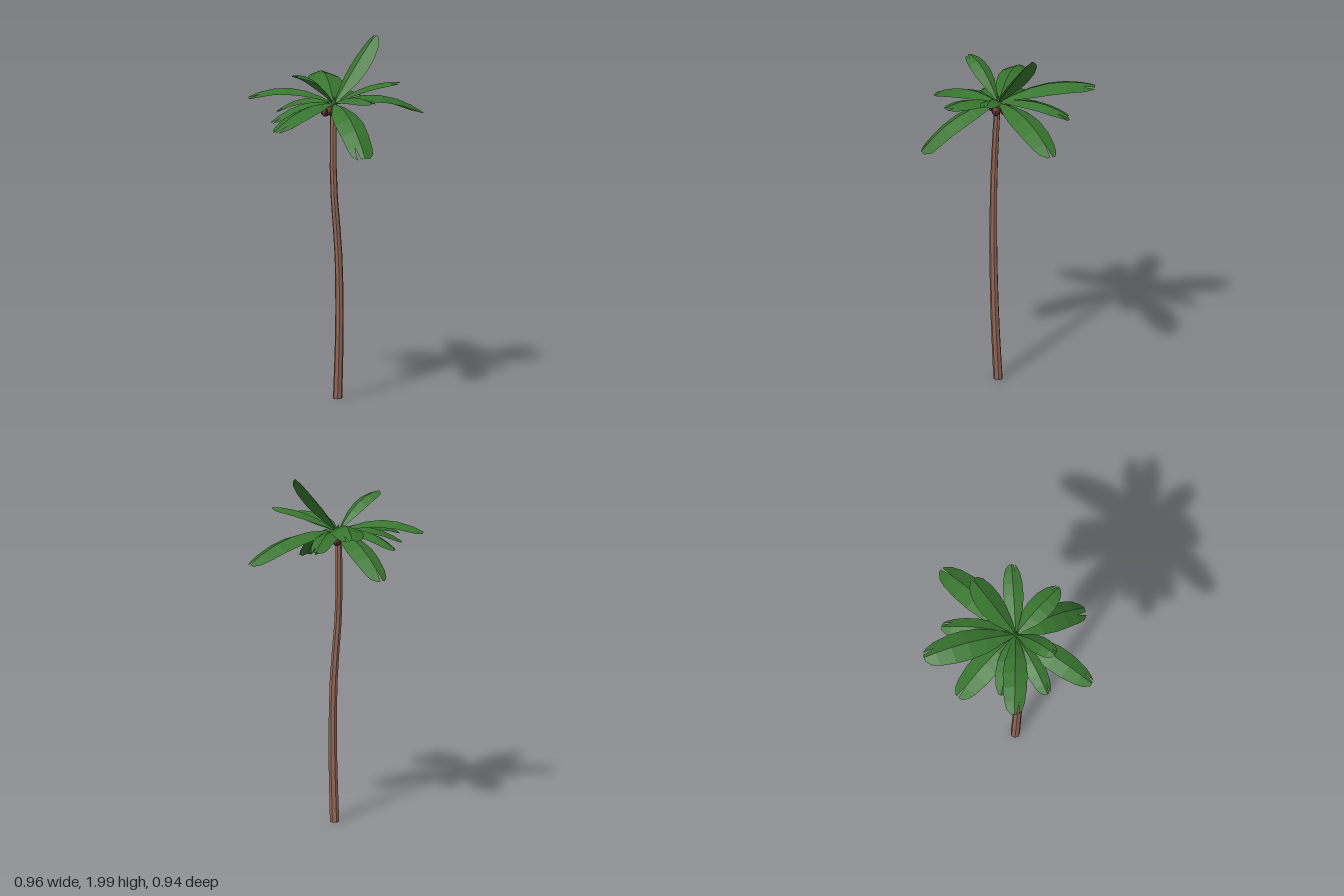
import * as THREE from 'three';

const CROWN = new THREE.Vector3(-0.015, 1.64, 0.055);

// Folded leaf blade: lanes across the width, rows along the arched midrib, slits at the tip
function frondGeometry(tip, midY, halfWidth, tipRatio, slitSide) {
  const end = new THREE.Vector3(...tip);
  const mid = CROWN.clone().lerp(end, 0.5).setY(midY);
  const control = mid.multiplyScalar(2).addScaledVector(CROWN, -0.5).addScaledVector(end, -0.5);
  const curve = new THREE.QuadraticBezierCurve3(CROWN, control, end);
  const side = end.clone().sub(CROWN).setY(0).normalize().cross(new THREE.Vector3(0, 1, 0));
  const rows = [0, 0.15, 0.33, 0.52, 0.7, 0.87, 1];
  const widths = [0.08, 0.45, 0.85, 1, 0.97, (tipRatio + 1) / 2, tipRatio];
  const lanes = [-1, -0.45, 0, 0.45, 1];
  const positions = [];

  const point = (row, u, shorten = 0) => {
    const t = rows[row] - shorten;
    const up = side.clone().cross(curve.getTangent(t));
    const w = halfWidth * widths[row];
    return curve.getPoint(t)
      .addScaledVector(side, u * w)
      .addScaledVector(up, -Math.abs(u) * w * 0.38);
  };
  for (let r = 0; r < rows.length - 1; r++) {
    for (let i = 0; i < 4; i++) {
      let u0 = lanes[i], u1 = lanes[i + 1], cut0 = 0, cut1 = 0;
      const a = point(r, u0), b = point(r, u1);
      if (r === rows.length - 2) {
        cut0 = Math.abs(u0) === 1 ? 0.05 : 0;
        cut1 = Math.abs(u1) === 1 ? 0.05 : 0;
        if (u0 === 0.45 * slitSide) u0 += 0.16;
        if (u1 === 0.45 * slitSide) u1 -= 0.1;
      }
      const c = point(r + 1, u1, cut1), d = point(r + 1, u0, cut0);
      for (const p of [a, b, c, a, c, d]) positions.push(p.x, p.y, p.z);
    }
  }
  const geometry = new THREE.BufferGeometry();
  geometry.setAttribute('position', new THREE.Float32BufferAttribute(positions, 3));
  geometry.computeVertexNormals();
  return geometry;
}

// Tapered trunk bent along a gentle S-curve
function trunkGeometry() {
  const path = new THREE.CatmullRomCurve3([
    [0.005, 0, 0.055], [0.015, 0.4, 0.072], [0.01, 0.8, 0.08],
    [-0.017, 1.2, 0.079], [-0.018, 1.64, 0.06],
  ].map((p) => new THREE.Vector3(...p)));
  const geometry = new THREE.CylinderGeometry(0.018, 0.026, 1, 7, 10);
  const pos = geometry.attributes.position;
  for (let i = 0; i < pos.count; i++) {
    const p = path.getPoint(pos.getY(i) + 0.5);
    pos.setXYZ(i, p.x + pos.getX(i), p.y, p.z + pos.getZ(i));
  }
  geometry.computeVertexNormals();
  return geometry;
}

export function createModel() {
  const material = (name, color, options = {}) => {
    const m = new THREE.MeshStandardMaterial({ color, flatShading: true, ...options });
    m.name = name;
    return m;
  };
  const bark = material('bark brown', 0x8f6556);
  const leaf = material('leaf green', 0x38752f, { side: THREE.DoubleSide });
  const nut = material('nut red brown', 0x562a2a);

  const model = new THREE.Group();
  model.name = 'palmTree';
  const add = (name, geometry, mat) => {
    const mesh = new THREE.Mesh(geometry, mat);
    mesh.name = name;
    model.add(mesh);
    return mesh;
  };

  add('trunk', trunkGeometry(), bark);

  // Fronds: tip, midrib height, half width, tip width ratio, slit side (0 for none)
  const fronds = [
    [[0.21, 1.99, -0.145], 1.825, 0.075, 0.5, 0],
    [[0.465, 1.54, -0.28], 1.66, 0.085, 0.6, 0],
    [[0.1, 1.625, -0.34], 1.68, 0.06, 0.65, 1],
    [[-0.1, 1.73, -0.47], 1.745, 0.088, 0.6, 1],
    [[-0.26, 1.46, -0.31], 1.61, 0.08, 0.65, 0],
    [[-0.33, 1.575, -0.08], 1.66, 0.06, 0.5, -1],
    [[-0.485, 1.665, -0.03], 1.72, 0.068, 0.65, -1],
    [[-0.36, 1.56, 0.175], 1.65, 0.058, 0.6, -1],
    [[-0.335, 1.55, 0.425], 1.645, 0.075, 0.55, -1],
    [[-0.235, 1.83, 0.235], 1.785, 0.055, 0.6, -1],
    [[0.16, 1.41, 0.465], 1.595, 0.085, 0.75, 1],
    [[0.2, 1.69, 0.33], 1.7, 0.07, 0.5, -1],
    [[0.345, 1.77, 0.09], 1.74, 0.055, 0.6, 1],
  ];
  for (const spec of fronds) add('frond', frondGeometry(...spec), leaf);

  // Leaf bud closing the centre of the crown
  add('crownBud', new THREE.ConeGeometry(0.022, 0.06, 6), leaf)
    .position.set(CROWN.x, 1.655, CROWN.z);

  // Cluster of nuts beneath the fronds
  for (let i = 0; i < 5; i++) {
    const angle = (i / 5) * Math.PI * 2 + 0.4;
    add('nut', new THREE.SphereGeometry(0.025, 8, 6), nut).position.set(
      -0.03 + Math.cos(angle) * 0.033, 1.595 + (i % 2) * 0.012, 0.05 + Math.sin(angle) * 0.042);
  }
  return model;
}
